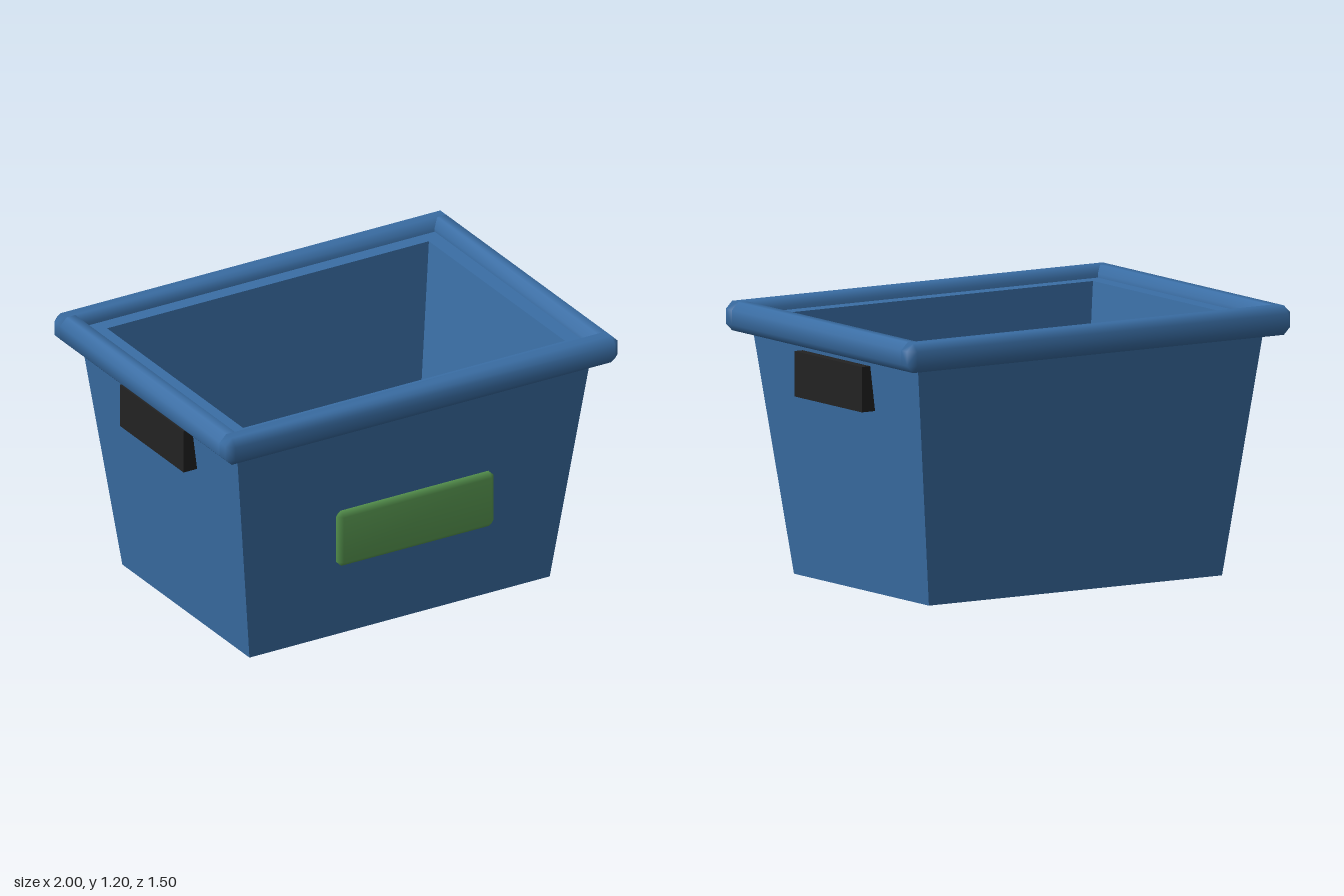
import * as THREE from 'three';
import { mergeVertices } from 'three/addons/utils/BufferGeometryUtils.js';
import { ConvexGeometry } from 'three/addons/geometries/ConvexGeometry.js';

const blue = new THREE.MeshStandardMaterial({ color: 0x3a6ea5 });
blue.name = 'blue plastic';
const green = new THREE.MeshStandardMaterial({ color: 0x5a9a52 });
green.name = 'green label';
const black = new THREE.MeshStandardMaterial({ color: 0x222222 });
black.name = 'black grip';

// Box with single-step chamfers and soft shading across them
function chamferBox(w, h, d, c) {
  const points = [];
  const [x, y, z] = [w / 2, h / 2, d / 2];
  for (const sx of [-1, 1]) for (const sy of [-1, 1]) for (const sz of [-1, 1]) {
    points.push(
      new THREE.Vector3(sx * x, sy * (y - c), sz * (z - c)),
      new THREE.Vector3(sx * (x - c), sy * y, sz * (z - c)),
      new THREE.Vector3(sx * (x - c), sy * (y - c), sz * z));
  }
  const hull = new ConvexGeometry(points);
  hull.deleteAttribute('normal');
  const geometry = mergeVertices(hull, 1e-4);
  geometry.computeVertexNormals();
  return geometry;
}

// Four tapered walls: rectangular rings [halfX, y, halfZ] joined in a closed loop
function wallGeometry(rings) {
  const corners = [[-1, 1], [1, 1], [1, -1], [-1, -1]];
  const positions = [];
  rings.forEach((low, r) => {
    const high = rings[(r + 1) % rings.length];
    const at = (ring, i) => {
      const [sx, sz] = corners[i % 4];
      return [sx * ring[0], ring[1], sz * ring[2]];
    };
    for (let i = 0; i < 4; i++) {
      const [a, b, c, d] = [at(low, i), at(low, i + 1), at(high, i + 1), at(high, i)];
      positions.push(...a, ...b, ...c, ...a, ...c, ...d);
    }
  });
  const geometry = new THREE.BufferGeometry();
  geometry.setAttribute('position', new THREE.Float32BufferAttribute(positions, 3));
  geometry.computeVertexNormals();
  return geometry;
}

export function createModel() {
  const model = new THREE.Group();
  model.name = 'storageBin';
  const add = (name, geometry, material, x = 0, y = 0, z = 0) => {
    const mesh = new THREE.Mesh(geometry, material);
    mesh.name = name;
    mesh.position.set(x, y, z);
    model.add(mesh);
  };

  // Tapered body and floor
  add('walls', wallGeometry([
    [0.765, 0.003, 0.533], [0.91, 1.15, 0.66], [0.82, 1.15, 0.57], [0.675, 0.003, 0.443],
  ]), blue);
  add('floor', chamferBox(1.51, 0.08, 1.046, 0.02), blue, 0, 0.04, 0);

  // Rim rails and side grips, mirrored
  const longRail = chamferBox(2, 0.13, 0.112, 0.033);
  const sideRail = chamferBox(0.11, 0.13, 1.4, 0.033);
  const grip = new THREE.BoxGeometry(0.09, 0.2, 0.534);
  for (const s of [1, -1]) {
    add(s > 0 ? 'frontRail' : 'backRail', longRail, blue, 0, 1.135, s * 0.693);
    add(s > 0 ? 'leftRail' : 'rightRail', sideRail, blue, s * 0.945, 1.135, 0);
    add(s > 0 ? 'leftHandle' : 'rightHandle', grip, black, s * 0.894, 0.935, 0);
  }

  // Label panel standing off the front wall
  add('labelPanel', chamferBox(0.8, 0.267, 0.052, 0.024), green, 0, 0.537, 0.66);
  return model;
}
